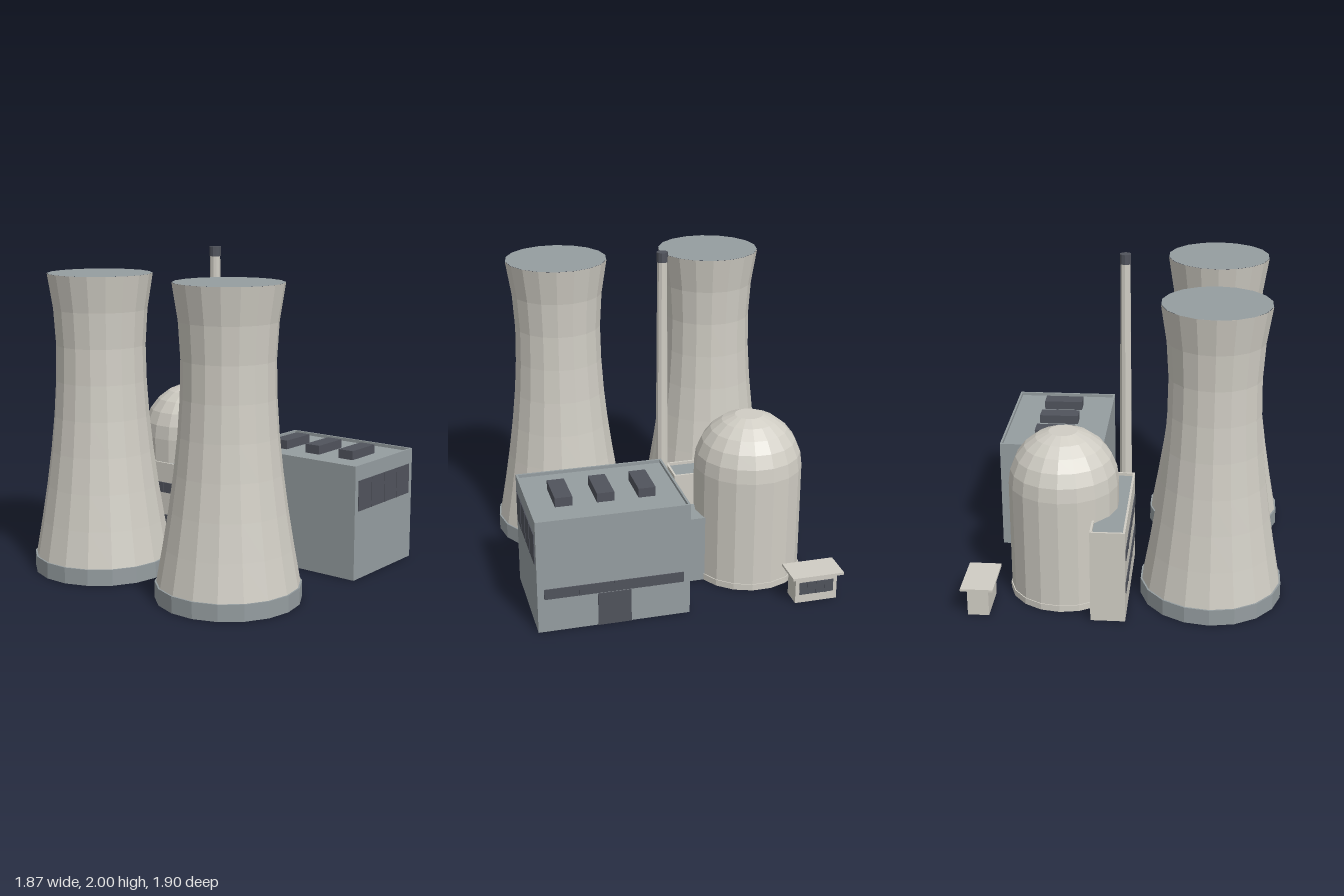
import * as THREE from 'three';

const mat = (name, color, extra = {}) => {
  const m = new THREE.MeshStandardMaterial({ color, flatShading: true, ...extra });
  m.name = name;
  return m;
};

export function createModel() {
  const concrete = mat('concrete', 0xd0cdc4);
  const steel = mat('steelGrey', 0x959da0);
  const dark = mat('darkGlass', 0x50535c);
  const root = new THREE.Group();
  root.name = 'powerStation';

  const add = (parent, name, geo, material, x = 0, y = 0, z = 0) => {
    const m = new THREE.Mesh(geo, material);
    m.name = name;
    m.position.set(x, y, z);
    parent.add(m);
    return m;
  };
  const group = (name, x = 0, z = 0) => {
    const g = new THREE.Group();
    g.name = name;
    g.position.set(x, 0, z);
    root.add(g);
    return g;
  };
  // Box given by its minimum and maximum corners
  const box = (parent, name, material, x0, x1, y0, y1, z0, z1) =>
    add(parent, name, new THREE.BoxGeometry(x1 - x0, y1 - y0, z1 - z0), material,
      (x0 + x1) / 2, (y0 + y1) / 2, (z0 + z1) / 2);
  // Round parts have a corner on the x axis
  const lathe = (pts, sides = 18) =>
    new THREE.LatheGeometry(pts.map(p => new THREE.Vector2(...p)), sides).rotateY(Math.PI / 2);

  // Low parapet around a flat roof
  const parapet = (parent, material, x0, x1, y0, y1, z0, z1, t = 0.013) => {
    box(parent, 'parapetBack', material, x0, x1, y0, y1, z0, z0 + t);
    box(parent, 'parapetFront', material, x0, x1, y0, y1, z1 - t, z1);
    box(parent, 'parapetRight', material, x0, x0 + t, y0, y1, z0 + t, z1 - t);
    box(parent, 'parapetLeft', material, x1 - t, x1, y0, y1, z0 + t, z1 - t);
  };
  // Window band on a wall facing along z (dir = +1 or -1), with raised mullions
  const windowBand = (parent, x0, x1, y0, y1, z, dir, panes) => {
    const plate = (name, a, b, d) =>
      box(parent, name, dark, a, b, y0, y1, Math.min(z, z + dir * d), Math.max(z, z + dir * d));
    plate('windowBand', x0, x1, 0.005);
    for (let i = 1; i < panes; i++) {
      const x = x0 + (x1 - x0) * i / panes;
      plate('mullion', x - 0.004, x + 0.004, 0.008);
    }
  };

  // Cooling towers: hyperbolic shells on steel base rings
  const profile = [];
  for (let i = 0; i <= 8; i++) {
    const y = 0.1 + 1.75 * i / 8;
    const d = (y - 1.4) / (y < 1.4 ? 1.112 : 0.73);
    profile.push([0.275 * Math.sqrt(1 + d * d), y]);
  }
  for (const side of [-1, 1]) {
    const g = group(side < 0 ? 'rightCoolingTower' : 'leftCoolingTower', side * 0.5, 0.52);
    add(g, 'towerShell', lathe(profile), concrete);
    add(g, 'towerBase', lathe([[0, 0], [0.433, 0], [0.433, 0.1], [0, 0.1]]), steel);
    add(g, 'towerTop', lathe([[0.321, 1.85], [0, 1.85]]), steel);
  }

  // Reactor dome: cylinder, faceted hemisphere and flat crown
  const reactor = group('reactor', -0.505, -0.375);
  const domePts = [[0, 0], [0.339, 0], [0.339, 0.04], [0.333, 0.04], [0.333, 0.716]];
  for (let a = 15; a <= 75; a += 15) {
    const r = a * Math.PI / 180;
    domePts.push([0.333 * Math.cos(r), 0.716 + 0.335 * Math.sin(r)]);
  }
  domePts.push([0, 1.04]);
  add(reactor, 'containmentDome', lathe(domePts), concrete);

  // Chimney
  const chimney = group('chimney', -0.045, -0.037);
  add(chimney, 'chimneyShaft', lathe([[0, 0.01], [0.043, 0.01], [0.031, 1.94]], 10), concrete);
  add(chimney, 'chimneyCap', lathe([[0, 1.94], [0.035, 1.94], [0.035, 2], [0, 2]], 10), dark);

  // Turbine hall with roof vents, side windows, rear window band and door
  const hall = group('turbineHall');
  box(hall, 'hallBody', steel, 0, 0.915, 0, 0.695, -0.852, -0.187);
  parapet(hall, steel, 0, 0.915, 0.695, 0.715, -0.852, -0.187);
  for (const x of [0.208, 0.458, 0.708]) {
    box(hall, 'roofVent', dark, x - 0.052, x + 0.052, 0.695, 0.752, -0.647, -0.393);
  }
  box(hall, 'sideWindow', dark, 0.915, 0.92, 0.43, 0.62, -0.812, -0.222);
  for (let i = 1; i < 4; i++) {
    const z = -0.812 + 0.59 * i / 4;
    box(hall, 'sideMullion', dark, 0.915, 0.923, 0.43, 0.62, z - 0.005, z + 0.005);
  }
  windowBand(hall, 0.04, 0.875, 0.215, 0.28, -0.852, -1, 4);
  box(hall, 'rearDoor', dark, 0.358, 0.558, 0, 0.21, -0.857, -0.852);

  // Passage between reactor and hall
  box(root, 'passage', steel, -0.25, 0, 0, 0.43, -0.5, -0.295);

  // Service block with two window rows
  const block = group('serviceBlock');
  box(block, 'blockBody', concrete, -0.922, -0.09, 0, 0.56, -0.182, 0.025);
  box(block, 'blockRoof', steel, -0.91, -0.102, 0.56, 0.565, -0.17, 0.013);
  parapet(block, concrete, -0.922, -0.09, 0.56, 0.583, -0.182, 0.025);
  for (const y of [0.17, 0.385]) windowBand(block, -0.885, -0.13, y, y + 0.067, 0.025, 1, 5);

  // Gatehouse at the rear
  const hut = group('gatehouse');
  box(hut, 'hutBody', concrete, -0.91, -0.645, 0, 0.173, -0.918, -0.79);
  box(hut, 'hutRoof', concrete, -0.94, -0.615, 0.173, 0.188, -0.953, -0.757);
  windowBand(hut, -0.885, -0.67, 0.055, 0.135, -0.918, -1, 4);

  return root;
}
